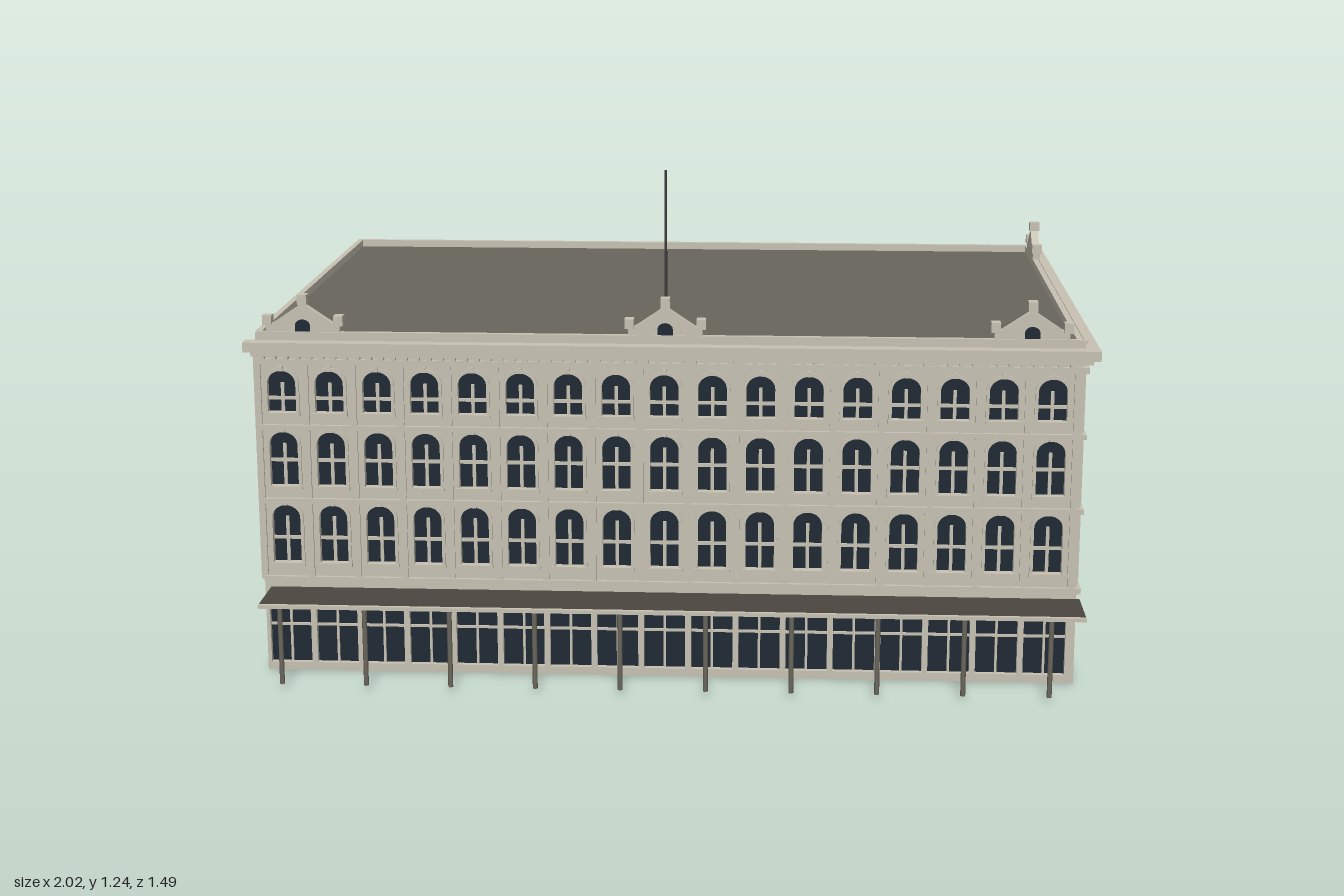
import * as THREE from 'three';
import { mergeGeometries } from 'three/addons/utils/BufferGeometryUtils.js';

const mat = (name, color, side = THREE.FrontSide) => {
  const m = new THREE.MeshStandardMaterial({ color, side });
  m.name = name;
  return m;
};

export function createModel() {
  const stone = mat('stone', 0xc8c2b3);
  const brick = mat('brick', 0xa08a6c, THREE.DoubleSide);
  const glass = mat('glass', 0x202b35, THREE.DoubleSide);
  const roofing = mat('roofing', 0x69665c);
  const canopyMetal = mat('canopyMetal', 0x4b4740);
  const postMetal = mat('postMetal', 0x6b675d);
  const doorWood = mat('doorWood', 0x50463f, THREE.DoubleSide);
  const poleMetal = mat('poleMetal', 0x3c3c3c);

  const model = new THREE.Group();
  model.name = 'building';

  // Collects geometries by part name and merges each part into one mesh
  const makeParts = (group) => {
    const parts = new Map();
    return {
      add(name, material, geo) {
        if (!parts.has(name)) parts.set(name, { material, list: [] });
        parts.get(name).list.push(geo.index ? geo.toNonIndexed() : geo);
      },
      finish() {
        for (const [name, { material, list }] of parts) {
          const mesh = new THREE.Mesh(mergeGeometries(list), material);
          mesh.name = name;
          group.add(mesh);
        }
      },
    };
  };

  // Box given by its low and high limits on each axis
  const box = (x0, x1, y0, y1, z0, z1) =>
    new THREE.BoxGeometry(x1 - x0, y1 - y0, z1 - z0).translate((x0 + x1) / 2, (y0 + y1) / 2, (z0 + z1) / 2);

  // Window outline, with an elliptical arch of the given rise on top
  const outline = (path, cx, w, y0, y1, rise = 0) => {
    const h = w / 2;
    path.moveTo(cx - h, y0).lineTo(cx + h, y0).lineTo(cx + h, y1 - rise);
    if (rise) path.absellipse(cx, y1 - rise, h, rise, 0, Math.PI, false, 0);
    else path.lineTo(cx - h, y1);
    path.lineTo(cx - h, y0);
    return path;
  };
  const extrude = (shape, depth, z = 0) =>
    new THREE.ExtrudeGeometry(shape, { depth, bevelEnabled: false, curveSegments: 10 }).translate(0, 0, z);
  const rect = (x0, x1, y0, y1) => outline(new THREE.Shape(), (x0 + x1) / 2, x1 - x0, y0, y1);

  const T = 0.02; // wall thickness
  const rows = [[0.276, 0.42, 0.336], [0.468, 0.602, 0.53], [0.65, 0.752, 0.683]];

  // Small gable with corner blocks and an arched attic light
  const pediment = (parts, cx) => {
    const s = new THREE.Shape();
    [[-0.088, 0.845], [0.088, 0.845], [0.088, 0.862], [0.07, 0.868], [0, 0.915], [-0.07, 0.868], [-0.088, 0.862]]
      .forEach(([x, y], i) => (i ? s.lineTo(cx + x, y) : s.moveTo(cx + x, y)));
    parts.add('pediments', stone, extrude(s, T));
    const light = outline(new THREE.Shape(), cx, 0.036, 0.848, 0.877, 0.015);
    parts.add('atticLights', glass, new THREE.ShapeGeometry(light).translate(0, 0, T + 0.002));
    for (const [x, y] of [[-0.085, 0.862], [0.085, 0.862], [0, 0.912]])
      parts.add('pedimentBlocks', stone, box(cx + x - 0.011, cx + x + 0.011, y, y + 0.024, -0.003, T + 0.004));
  };

  // Ornate wall: u runs along it, y up, z outward
  const facade = (group, { u0, u1, trim0, first, step, count, ground, gables, blind = [] }) => {
    const parts = makeParts(group);
    const wall = rect(u0, u1, 0, 0.845);
    for (let i = 0; i < count; i++) {
      const cx = first + i * step;
      rows.forEach(([y0, y1, bar], r) => {
        const w = 0.068, rise = 0.031;
        wall.holes.push(outline(new THREE.Path(), cx, w, y0, y1, rise));
        const isBlind = r === 2 && blind.includes(i);
        parts.add(isBlind ? 'blockedWindows' : 'windowGlass', isBlind ? brick : glass,
          new THREE.ShapeGeometry(outline(new THREE.Shape(), cx, w, y0, y1, rise)).translate(0, 0, 0.006));
        // Raised surround, mullions, sill and keystone
        const ring = outline(new THREE.Shape(), cx, w + 0.016, y0, y1 + 0.008, rise + 0.006);
        ring.holes.push(outline(new THREE.Path(), cx, w, y0, y1, rise));
        parts.add('windowSurrounds', stone, extrude(ring, 0.005, T));
        parts.add('mullions', stone, box(cx - 0.004, cx + 0.004, y0, y1 - rise, 0.007, 0.012));
        parts.add('mullions', stone, box(cx - w / 2, cx + w / 2, bar - 0.004, bar + 0.004, 0.007, 0.012));
        parts.add('sills', stone, box(cx - 0.043, cx + 0.043, y0 - 0.008, y0, T, T + 0.008));
        parts.add('keystones', stone, box(cx - 0.005, cx + 0.005, y1, y1 + 0.013, T, T + 0.008));
      });
    }
    // Street level openings
    for (const { cx, w, y0, y1, bar, door } of ground) {
      wall.holes.push(outline(new THREE.Path(), cx, w, y0, y1));
      parts.add(door ? 'door' : 'groundGlass', door ? doorWood : glass,
        new THREE.PlaneGeometry(w, y1 - y0).translate(cx, (y0 + y1) / 2, 0.006));
      parts.add('groundMullions', stone, box(cx - 0.003, cx + 0.003, y0, y1, 0.007, 0.012));
      parts.add('groundMullions', stone, box(cx - w / 2, cx + w / 2, bar - 0.003, bar + 0.003, 0.007, 0.012));
    }
    parts.add('wall', stone, extrude(wall, T));
    // Pilasters between bays, with wider ones closing the ends
    for (let i = 0; i <= count; i++) {
      const cx = first + (i - 0.5) * step;
      parts.add('pilasters', stone, box(cx - 0.008, cx + 0.008, 0.235, 0.79, T, T + 0.006));
    }
    // Floor bands, main cornice and coping
    for (const [y0, y1, out] of [[0.228, 0.242, 0.009], [0.425, 0.438, 0.009], [0.608, 0.62, 0.009],
      [0.768, 0.782, 0.01], [0.79, 0.802, 0.018], [0.802, 0.826, 0.033], [0.838, 0.847, 0.004]])
      parts.add('bands', stone, box(trim0 - out, u1, y0, y1, T - 0.005, T + out));
    // Dentils under the cornice
    const n = count * 4;
    for (let i = 0; i < n; i++) {
      const cx = first + (i / 4 - 0.375) * step;
      parts.add('dentils', stone, box(cx - 0.006, cx + 0.006, 0.782, 0.79, T, T + 0.014));
    }
    gables.forEach((cx) => pediment(parts, cx));
    parts.finish();
    model.add(group);
  };

  // Front: arched bays above a glazed shopfront
  const front = new THREE.Group();
  front.name = 'frontFacade';
  front.position.z = 0.57;
  const fFirst = -0.936, fStep = 0.1143;
  facade(front, {
    u0: -0.995, u1: 0.965, trim0: -0.986, first: fFirst, step: fStep, count: 17,
    ground: Array.from({ length: 17 }, (_, i) => ({ cx: fFirst + i * fStep, w: 0.1, y0: 0.02, y1: 0.2, bar: 0.115 })),
    gables: [-0.88, -0.019, 0.84],
  });

  // Side: arched bays above a plain base with a door
  const side = new THREE.Group();
  side.name = 'sideFacade';
  side.position.x = 0.945;
  side.rotation.y = Math.PI / 2;
  const sFirst = -0.5, sStep = 0.1152;
  const sideGround = [0, 2, 4, 6, 8, 10].map((i) => ({ cx: sFirst + i * sStep, w: 0.056, y0: 0.06, y1: 0.19, bar: 0.125 }));
  sideGround.push({ cx: sFirst + 5 * sStep, w: 0.074, y0: 0.015, y1: 0.163, bar: 0.09, door: true });
  facade(side, {
    u0: -0.57, u1: 0.742, trim0: -0.59, first: sFirst, step: sStep, count: 11,
    ground: sideGround, gables: [0.592], blind: [4, 5, 8, 9],
  });

  const rest = makeParts(model);

  // Plain brick walls, stopping a little below the roof
  const back = rect(-0.99, 0.945, 0, 0.78);
  for (let i = 0; i < 6; i++) {
    const cx = 0.656 - i * 0.2295;
    for (const [y0, y1] of [[0.295, 0.425], [0.485, 0.6], [0.655, 0.752]]) {
      const w = 0.054, cy = (y0 + y1) / 2;
      back.holes.push(outline(new THREE.Path(), cx, w, y0, y1));
      rest.add('backGlass', glass, new THREE.PlaneGeometry(w, y1 - y0).translate(cx, cy, -0.732));
      rest.add('backMullions', stone, box(cx - w / 2, cx + w / 2, cy - 0.003, cy + 0.003, -0.737, -0.733));
      rest.add('backSills', stone, box(cx - 0.03, cx + 0.03, y0 - 0.007, y0, -0.744, -0.738));
    }
  }
  rest.add('backWall', brick, extrude(back, 0.012, -0.74));
  rest.add('leftWall', brick, box(-0.99, -0.978, 0, 0.78, -0.728, 0.57));

  // Roof slab with a raised rim on the plain sides
  rest.add('roof', roofing, box(-0.985, 0.95, 0.812, 0.826, -0.735, 0.575));
  rest.add('roofRim', stone, box(-0.997, 0.965, 0.812, 0.845, -0.747, -0.732));
  rest.add('roofRim', stone, box(-0.997, -0.982, 0.812, 0.845, -0.732, 0.57));

  // Pavement canopy on slim posts
  rest.add('canopy', canopyMetal, box(-0.98, 0.973, 0.203, 0.213, 0.59, 0.73));
  rest.add('canopyEdge', stone, box(-0.98, 0.973, 0.206, 0.215, 0.73, 0.74));
  for (let i = 0; i < 10; i++) {
    const x = -0.93 + i * 0.2026;
    rest.add('canopyPosts', postMetal, new THREE.CylinderGeometry(0.006, 0.006, 0.19, 8).translate(x, 0.11, 0.728));
    rest.add('canopyBeams', canopyMetal, box(x - 0.005, x + 0.005, 0.196, 0.203, 0.59, 0.73));
  }

  // Flagpole behind the central gable
  rest.add('flagpole', poleMetal, new THREE.CylinderGeometry(0.003, 0.004, 0.41, 8).translate(-0.019, 1.03, 0.562));
  rest.finish();
  return model;
}
